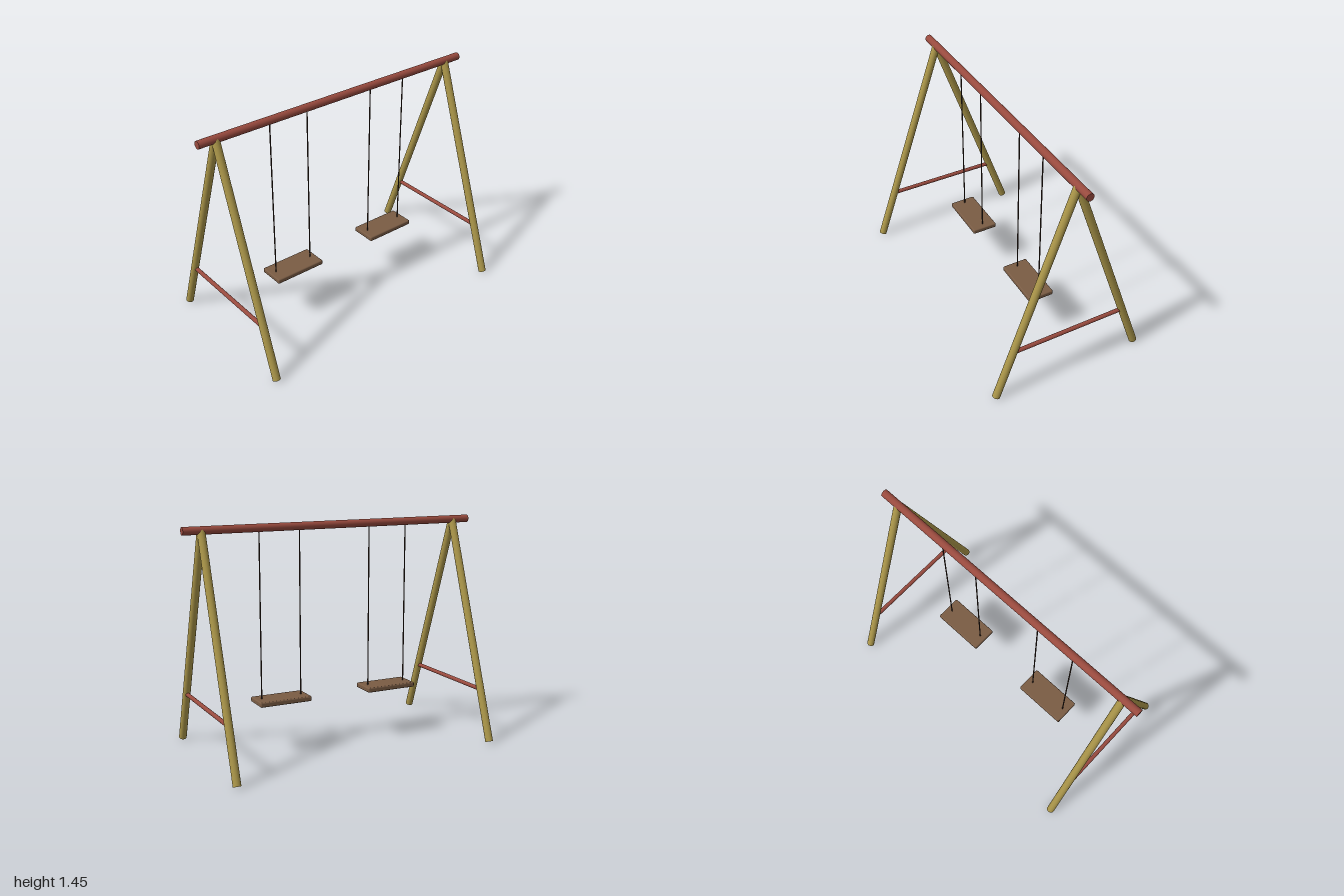
import * as THREE from 'three';
import { RoundedBoxGeometry } from 'three/addons/geometries/RoundedBoxGeometry.js';

const mat = (color) => new THREE.MeshStandardMaterial({ color });
const RED = mat(0x984a3e), YELLOW = mat(0xac974a), BROWN = mat(0x7a5c44), ROPE = mat(0x3a2a22);

// Round bar running between two points
function bar(name, from, to, radius, material, sides = 32) {
  const a = new THREE.Vector3(...from), b = new THREE.Vector3(...to);
  const dir = b.clone().sub(a);
  const mesh = new THREE.Mesh(new THREE.CylinderGeometry(radius, radius, dir.length(), sides), material);
  mesh.position.copy(a).add(b).multiplyScalar(0.5);
  mesh.quaternion.setFromUnitVectors(new THREE.Vector3(0, 1, 0), dir.normalize());
  mesh.name = name;
  return mesh;
}

// A-shaped end: two splayed legs and a cross brace
function endFrame(x) {
  const frame = new THREE.Group();
  frame.name = 'endFrame';
  for (const s of [1, -1]) {
    frame.add(bar(s > 0 ? 'frontLeg' : 'backLeg', [x, 0.008, s * 0.5], [x, 1.425, 0], 0.025, YELLOW));
  }
  frame.add(bar('crossBrace', [x, 0.335, -0.385], [x, 0.335, 0.385], 0.0135, RED, 24));
  return frame;
}

// Hanging swing: seat board and two ropes
function swing(x) {
  const group = new THREE.Group();
  group.name = 'swing';
  const seat = new THREE.Mesh(new RoundedBoxGeometry(0.35, 0.032, 0.17, 3, 0.008), BROWN);
  seat.position.set(x, 0.335, 0);
  seat.name = 'seat';
  group.add(seat);
  for (const s of [-1, 1]) {
    const rx = x + s * 0.135;
    group.add(bar('rope', [rx, 0.335, 0], [rx, 1.425, 0], 0.004, ROPE, 12));
  }
  return group;
}

export function createModel() {
  const model = new THREE.Group();
  model.name = 'swingSet';
  model.add(bar('topBeam', [-1, 1.425, 0], [1, 1.425, 0], 0.025, RED));
  for (const s of [-1, 1]) model.add(endFrame(s * 0.882), swing(s * 0.381));
  return model;
}
